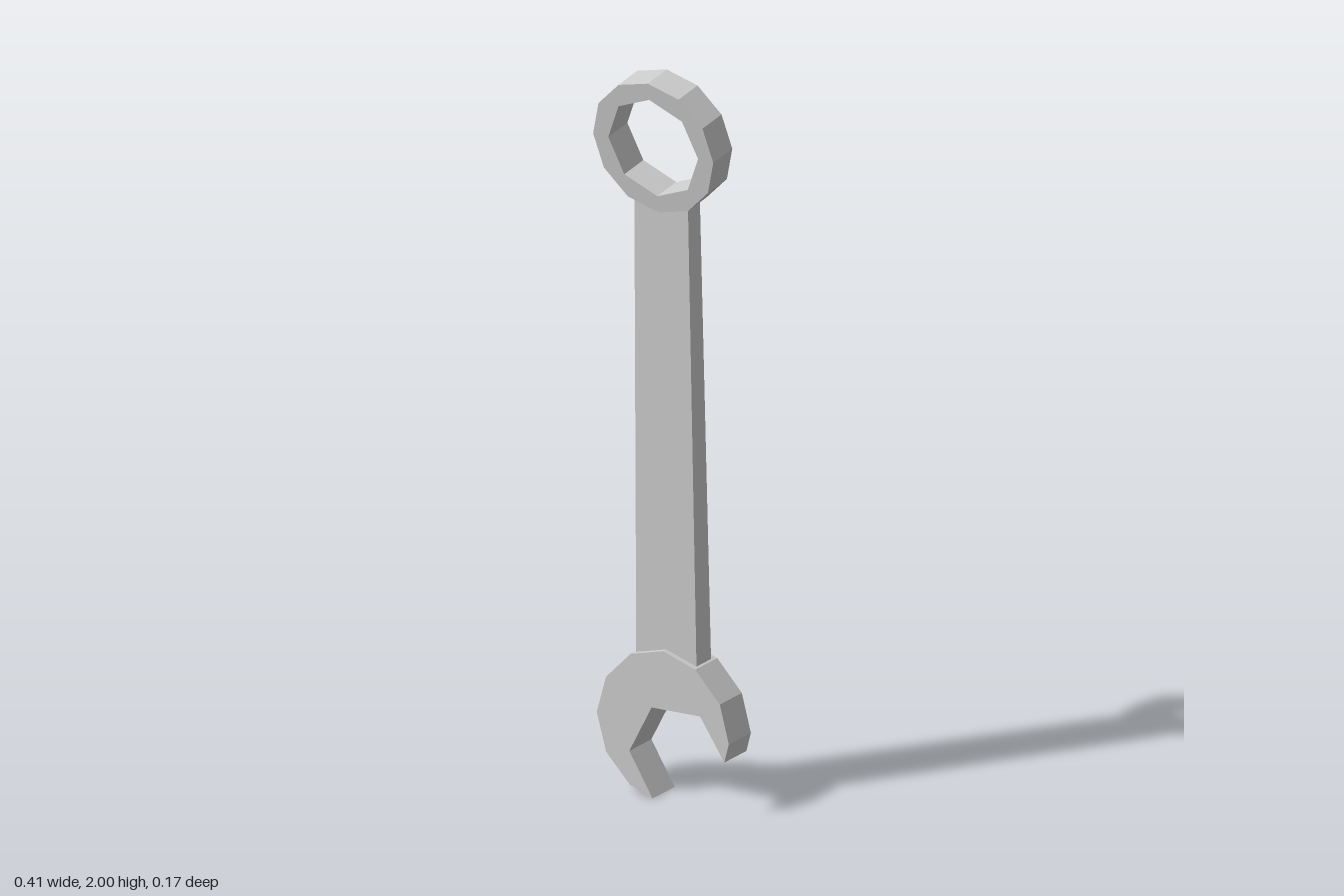
import * as THREE from 'three';

const material = new THREE.MeshStandardMaterial({ color: 0xcccccc, flatShading: true });

// Regular polygon, counter-clockwise, with one corner pointing up
function polygon(radius, sides) {
  return Array.from({ length: sides }, (_, i) => {
    const a = (i / sides) * Math.PI * 2;
    return new THREE.Vector2(-Math.sin(a) * radius, Math.cos(a) * radius);
  });
}

// Flat plate extruded along z, centred on z = 0
function plate(name, shape, depth) {
  const geometry = new THREE.ExtrudeGeometry(shape, { depth, bevelEnabled: false });
  geometry.translate(0, 0, -depth / 2);
  const mesh = new THREE.Mesh(geometry, material);
  mesh.name = name;
  return mesh;
}

export function createModel() {
  const group = new THREE.Group();
  group.name = 'combinationWrench';

  // Closed ring end: twelve-sided outside, eight-sided hole, tilted forward
  const ringShape = new THREE.Shape(polygon(0.186, 12));
  ringShape.holes.push(new THREE.Path(polygon(0.139, 8)));
  const ring = plate('ringEnd', ringShape, 0.087);
  ring.position.set(0, 1.81, 0.016);
  ring.rotation.x = THREE.MathUtils.degToRad(7.6);
  group.add(ring);

  // Open jaw: outer curve, then the angled slot
  const jawShape = new THREE.Shape([
    [0, 0.411], [-0.1, 0.382], [-0.176, 0.303], [-0.205, 0.2], [-0.176, 0.097],
    [-0.103, 0.023], [-0.032, 0], [-0.104, 0.115], [-0.035, 0.249],
    [0.115, 0.257], [0.19, 0.147], [0.204, 0.2], [0.176, 0.303], [0.1, 0.382],
  ].map(([x, y]) => new THREE.Vector2(x, y)));
  const jaw = plate('openJaw', jawShape, 0.1);
  jaw.position.z = -0.035;
  group.add(jaw);

  // Handle: a bar that tapers and leans forward towards the ring
  const bottom = 0.36, top = 1.652;
  const bar = new THREE.BoxGeometry(1, 1, 1);
  const p = bar.attributes.position;
  for (let i = 0; i < p.count; i++) {
    const t = p.getY(i) + 0.5;
    p.setXYZ(
      i,
      p.getX(i) * THREE.MathUtils.lerp(0.187, 0.166, t),
      THREE.MathUtils.lerp(bottom, top, t),
      p.getZ(i) * THREE.MathUtils.lerp(0.066, 0.054, t) + THREE.MathUtils.lerp(-0.034, -0.004, t),
    );
  }
  bar.computeVertexNormals();
  const handle = new THREE.Mesh(bar, material);
  handle.name = 'handle';
  group.add(handle);

  return group;
}
